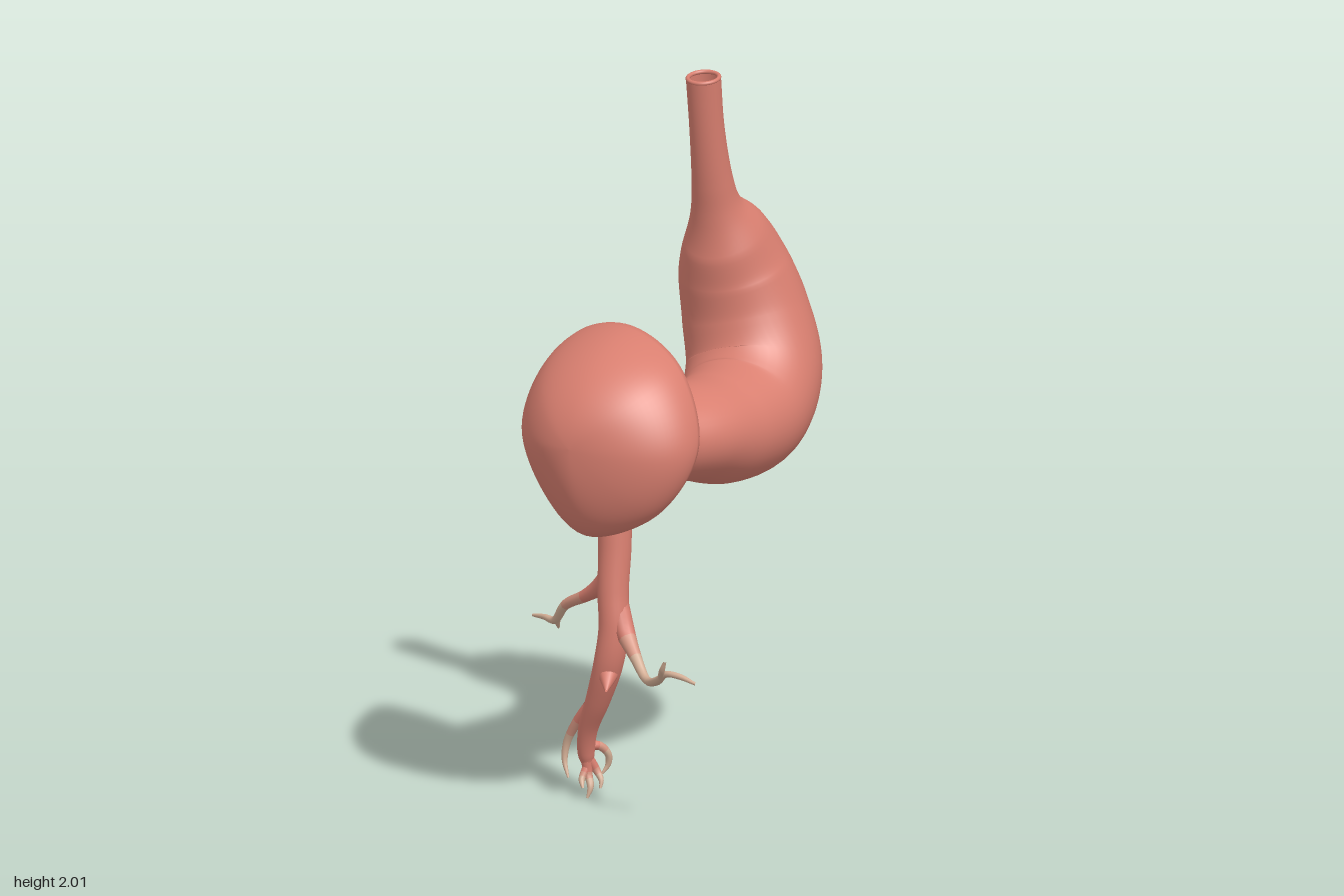
import * as THREE from 'three';

const flesh = new THREE.MeshStandardMaterial({ color: 0xd97f70, side: THREE.DoubleSide });
flesh.name = 'salmon flesh';
const blend = new THREE.MeshStandardMaterial({ color: 0xd69682 });
blend.name = 'pale salmon';
const tan = new THREE.MeshStandardMaterial({ color: 0xd3ae95 });
tan.name = 'tan root tip';

// Smooth surface from rows of closed rings, point(row, column) -> Vector3
function ringSurface(rows, sides, point) {
  const pos = [], idx = [];
  for (let i = 0; i <= rows; i++) {
    for (let j = 0; j < sides; j++) pos.push(...point(i, j).toArray());
  }
  for (let i = 0; i < rows; i++) {
    for (let j = 0; j < sides; j++) {
      const k = (j + 1) % sides;
      const a = i * sides + j, b = i * sides + k, c = a + sides, d = b + sides;
      idx.push(a, b, c, b, d, c);
    }
  }
  const geo = new THREE.BufferGeometry();
  geo.setAttribute('position', new THREE.Float32BufferAttribute(pos, 3));
  geo.setIndex(idx);
  geo.computeVertexNormals();
  return geo;
}

// Tube through [x, y, z, radius along ref, other radius]
function sweep(stations, rows, sides, ref) {
  const path = new THREE.CatmullRomCurve3(stations.map((s) => new THREE.Vector3(s[0], s[1], s[2])));
  const radii = new THREE.CatmullRomCurve3(
    stations.map((s) => new THREE.Vector3(s[3], s[4] ?? s[3], 0)), false, 'catmullrom');
  const frames = [];
  for (let i = 0; i <= rows; i++) {
    const t = i / rows;
    const tangent = path.getTangent(t);
    const u = ref.clone().addScaledVector(tangent, -ref.dot(tangent)).normalize();
    const v = tangent.clone().cross(u);
    frames.push({ c: path.getPoint(t), u, v, r: radii.getPoint(t) });
  }
  return ringSurface(rows, sides, (i, j) => {
    const a = (j / sides) * Math.PI * 2, f = frames[i];
    return f.c.clone()
      .addScaledVector(f.u, Math.cos(a) * f.r.x)
      .addScaledVector(f.v, Math.sin(a) * f.r.y);
  });
}

const X = new THREE.Vector3(1, 0, 0);
const Z = new THREE.Vector3(0, 0, 1);

export function createModel() {
  const model = new THREE.Group();
  const add = (name, geo, mat) => {
    const mesh = new THREE.Mesh(geo, mat);
    mesh.name = name;
    model.add(mesh);
    return mesh;
  };

  // Curved sac with its open neck
  add('curvedBody', sweep([
    [0.09, 1.995, -0.178, 0.048],
    [0.09, 1.85, -0.2, 0.048],
    [0.09, 1.7, -0.233, 0.056],
    [0.09, 1.61, -0.262, 0.072],
    [0.095, 1.52, -0.308, 0.118, 0.126],
    [0.1, 1.42, -0.35, 0.155, 0.152],
    [0.125, 1.29, -0.372, 0.178, 0.165],
    [0.165, 1.15, -0.342, 0.188, 0.174],
    [0.185, 1.06, -0.235, 0.185, 0.168],
    [0.178, 1.04, -0.08, 0.175, 0.153],
    [0.15, 1.057, 0.05, 0.172, 0.134],
    [0.11, 1.065, 0.15, 0.163, 0.126],
    [0.06, 1.07, 0.28, 0.15, 0.125],
    [0.02, 1.09, 0.42, 0.12, 0.12],
    [0.02, 1.1, 0.5, 0.02, 0.02],
  ], 120, 48, X), flesh);
  const lip = add('neckLip', new THREE.TorusGeometry(0.043, 0.006, 10, 40), flesh);
  lip.position.set(0.09, 1.993, -0.178);
  lip.rotation.x = Math.PI / 2 + 0.14;

  // Thick bowl with an uneven slanted rim
  const rim = new THREE.CatmullRomCurve3([
    [0.325, 1.1, 0.35], [0.235, 1.3, 0.27], [0.03, 1.375, 0.17], [-0.18, 1.3, 0.085],
    [-0.27, 1.11, 0.05], [-0.185, 0.92, 0.14], [0.03, 0.835, 0.4], [0.23, 0.92, 0.4],
  ].map((p) => new THREE.Vector3(...p)), true);
  const steps = 24, sides = 72, wall = 0.03;
  add('bowl', ringSurface(steps * 2 + 2, sides, (i, j) => {
    const r = rim.getPoint(1 - (j + 0.5) / sides);
    const dx = r.x - 0.02, dy = r.y - 1.11, radius = Math.hypot(dx, dy);
    const inner = i > steps + 1;
    const s = Math.min(1, (inner ? steps * 2 + 2 - i : i) / steps) * Math.PI / 2;
    const inset = inner ? wall : 0;
    let scale = Math.sin(s) * (radius - inset) / radius;
    let z = r.z + (0.535 - inset - r.z) * Math.cos(s);
    if (i === steps + 1) {
      scale = (radius - wall / 2) / radius;
      z = r.z - 0.012;
    }
    return new THREE.Vector3(0.02 + dx * scale, 1.11 + dy * scale, z);
  }), flesh);

  // Main root stem, growing out of the low corner of the bowl
  add('stem', sweep([
    [-0.13, 0.985, 0.2, 0.07],
    [-0.1, 0.93, 0.125, 0.068],
    [-0.06, 0.85, 0.088, 0.05],
    [-0.05, 0.74, 0.09, 0.046],
    [-0.047, 0.6, 0.108, 0.043],
    [-0.04, 0.5, 0.118, 0.042],
    [-0.055, 0.4, 0.12, 0.041],
    [-0.095, 0.29, 0.1, 0.034],
    [-0.14, 0.19, 0.072, 0.027],
    [-0.152, 0.11, 0.055, 0.022],
    [-0.14, 0.07, 0.055, 0.004],
  ], 70, 24, X), flesh);

  // Branches fade from flesh to tan at the given fractions
  const branch = (name, stations, from, to) => {
    const rows = 28, n = 12;
    const geo = sweep(stations, rows, n, Z);
    const a = Math.round(rows * from), b = Math.round(rows * to), per = n * 6;
    geo.addGroup(0, a * per, 0);
    geo.addGroup(a * per, (b - a) * per, 1);
    geo.addGroup(b * per, (rows - b) * per, 2);
    add(name, geo, [flesh, blend, tan]);
  };
  branch('rightBranch', [
    [-0.05, 0.66, 0.1, 0.03], [-0.095, 0.605, 0.075, 0.027], [-0.15, 0.565, 0.058, 0.018],
    [-0.23, 0.52, 0.025, 0.014], [-0.275, 0.465, -0.005, 0.011], [-0.32, 0.462, -0.033, 0.008],
    [-0.367, 0.455, -0.06, 0.004],
  ], 0.35, 0.5);
  branch('rightBranchTwig', [
    [-0.255, 0.49, 0.008, 0.009], [-0.27, 0.46, -0.01, 0.008], [-0.275, 0.438, -0.028, 0.003],
  ], 0, 0);
  branch('leftBranch', [
    [-0.03, 0.56, 0.11, 0.03], [0.0, 0.495, 0.13, 0.027], [0.05, 0.44, 0.17, 0.017],
    [0.1, 0.393, 0.21, 0.012], [0.17, 0.415, 0.285, 0.012], [0.215, 0.448, 0.322, 0.009],
    [0.26, 0.447, 0.33, 0.008], [0.31, 0.434, 0.338, 0.004],
  ], 0.18, 0.3);
  branch('leftBranchTwig', [
    [0.19, 0.427, 0.305, 0.009], [0.207, 0.46, 0.335, 0.008], [0.222, 0.49, 0.347, 0.004],
  ], 0, 0);
  branch('stemNub', [
    [-0.055, 0.38, 0.12, 0.034], [-0.042, 0.36, 0.155, 0.02], [-0.03, 0.34, 0.188, 0.004],
  ], 1, 1);
  branch('lowerOuterTwig', [
    [-0.13, 0.26, 0.085, 0.018], [-0.175, 0.205, 0.07, 0.014], [-0.208, 0.145, 0.06, 0.011],
    [-0.213, 0.095, 0.065, 0.008], [-0.195, 0.05, 0.08, 0.003],
  ], 0.2, 0.4);
  branch('lowerBackTwig', [
    [-0.15, 0.14, 0.055, 0.014], [-0.125, 0.135, 0.027, 0.012], [-0.108, 0.11, 0.01, 0.01],
    [-0.11, 0.08, 0.006, 0.008], [-0.122, 0.055, 0.018, 0.003],
  ], 0.2, 0.4);
  branch('lowerInnerTwig', [
    [-0.15, 0.11, 0.055, 0.015], [-0.128, 0.07, 0.042, 0.011], [-0.11, 0.045, 0.05, 0.007],
    [-0.108, 0.025, 0.06, 0.003],
  ], 0.3, 0.45);
  branch('lowerTipTwig', [
    [-0.152, 0.11, 0.055, 0.018], [-0.145, 0.06, 0.058, 0.012], [-0.132, 0.03, 0.072, 0.009],
    [-0.136, 0.0, 0.084, 0.003],
  ], 0.3, 0.45);
  branch('lowerFrontTwig', [
    [-0.15, 0.08, 0.058, 0.012], [-0.155, 0.05, 0.078, 0.009], [-0.143, 0.03, 0.097, 0.003],
  ], 0.2, 0.4);

  return model;
}
